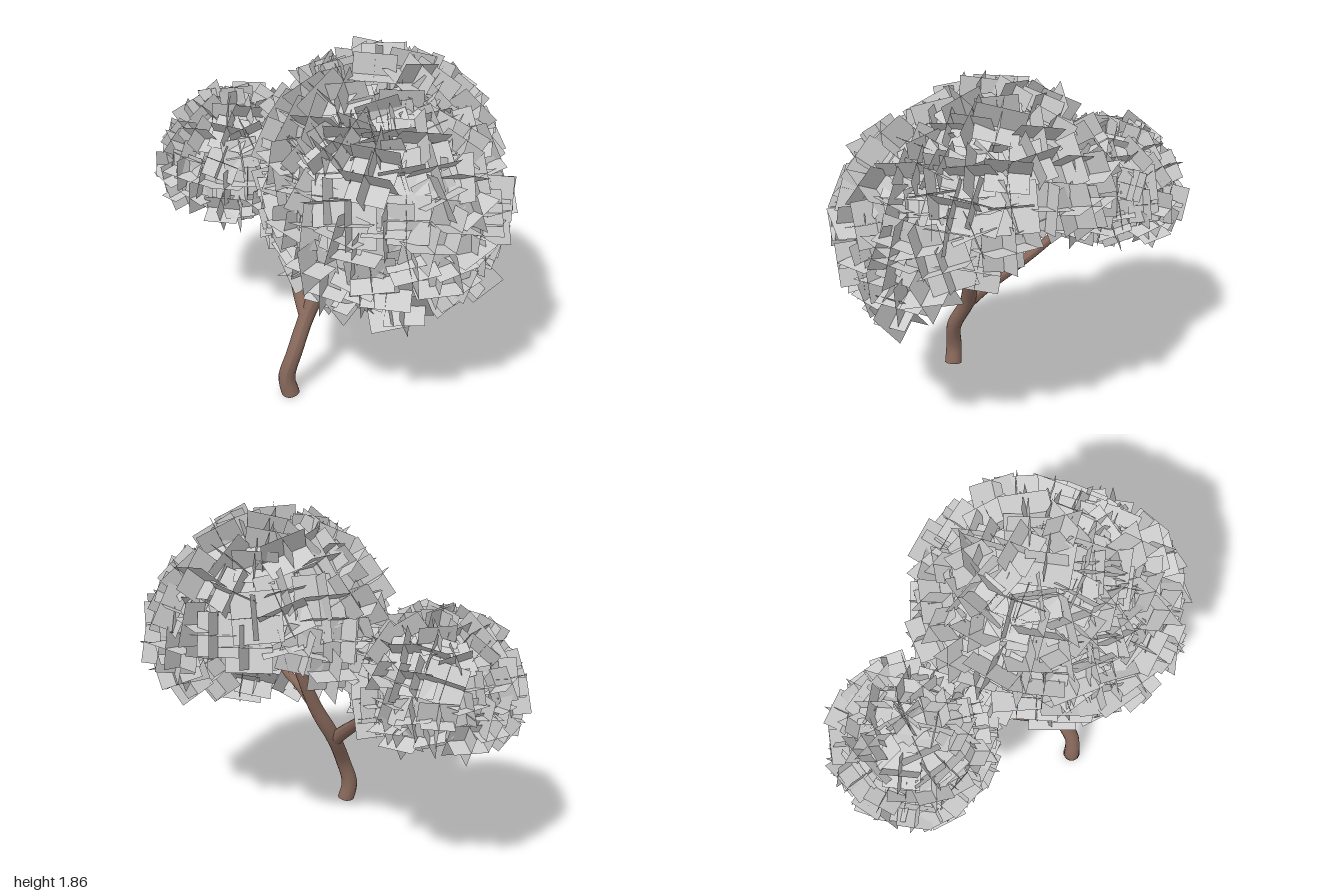
import * as THREE from 'three';
import { mergeGeometries } from 'three/addons/utils/BufferGeometryUtils.js';

const V = (x, y, z) => new THREE.Vector3(x, y, z);

// Small seeded generator, returns -1..1
function seeded(seed) {
  let s = seed;
  return () => {
    s = (s * 16807) % 2147483647;
    return (s / 2147483647) * 2 - 1;
  };
}

// Tube through the points whose radius follows a list of radii
function taperedTube(points, radii, segments = 28, sides = 12) {
  const curve = new THREE.CatmullRomCurve3(points.map((p) => V(...p)));
  const geo = new THREE.TubeGeometry(curve, segments, 1, sides);
  const pos = geo.attributes.position;
  const p = V(0, 0, 0);
  for (let i = 0; i <= segments; i++) {
    const t = i / segments;
    const c = curve.getPointAt(t);
    const f = t * (radii.length - 1);
    const k = Math.min(Math.floor(f), radii.length - 2);
    const r = THREE.MathUtils.lerp(radii[k], radii[k + 1], f - k);
    for (let j = 0; j <= sides; j++) {
      const n = i * (sides + 1) + j;
      p.fromBufferAttribute(pos, n).sub(c).multiplyScalar(r).add(c);
      pos.setXYZ(n, p.x, Math.max(p.y, 0), p.z);
    }
  }
  geo.computeVertexNormals();
  return geo;
}

// Hollow dome of leaf cards: each spot holds one tangent and two radial cards
function leafDome({ centre, radius, axis, rings, size, lowest, seed }) {
  const rand = seeded(seed);
  const cards = [];
  const tilt = new THREE.Quaternion().setFromUnitVectors(V(0, 1, 0), V(...axis).normalize());
  const turns = [[0, 0], [Math.PI / 2, 0], [0, Math.PI / 2]];
  for (let i = 0; i < rings; i++) {
    const polar = (lowest * (i + 0.2)) / (rings - 0.8);
    const count = Math.max(3, Math.round((Math.PI * 2 * Math.sin(polar) * radius) / (size * 0.65)));
    for (let j = 0; j < count; j++) {
      const a = ((j + (i % 2) / 2 + rand() * 0.3) / count) * Math.PI * 2;
      const b = polar + rand() * 0.1;
      const dir = V(Math.sin(b) * Math.sin(a), Math.cos(b), Math.sin(b) * Math.cos(a));
      dir.applyQuaternion(tilt);
      const frame = new THREE.Matrix4().lookAt(dir, V(0, 0, 0), V(0, 1, 0));
      frame.setPosition(V(...centre).addScaledVector(dir, radius * (1 + rand() * 0.06)));
      const sway = [rand() * 0.25, rand() * 0.25, rand() * 0.4];
      for (const [rx, ry] of turns) {
        const s = size * (1 + rand() * 0.12);
        const card = new THREE.PlaneGeometry(s, s);
        card.rotateX(rx).rotateY(ry);
        card.rotateX(sway[0]).rotateY(sway[1]).rotateZ(sway[2]);
        cards.push(card.applyMatrix4(frame));
      }
    }
  }
  return mergeGeometries(cards);
}

export function createModel() {
  const tree = new THREE.Group();
  tree.name = 'tree';
  const bark = new THREE.MeshStandardMaterial({ color: 0x86675a, side: THREE.DoubleSide });
  const leaf = new THREE.MeshStandardMaterial({ color: 0xcccccc, side: THREE.DoubleSide });
  const add = (name, geometry, material) => {
    const mesh = new THREE.Mesh(geometry, material);
    mesh.name = name;
    tree.add(mesh);
  };

  // Leaning trunk and its two side branches
  add('trunk', taperedTube(
    [[-0.15, 0, 0.43], [-0.17, 0.1, 0.43], [-0.13, 0.25, 0.415], [-0.06, 0.46, 0.31],
      [0.04, 0.66, 0.265], [0.12, 0.88, 0.225], [0.19, 1.1, 0.22], [0.29, 1.3, 0.23]],
    [0.05, 0.042, 0.041, 0.044, 0.037, 0.031, 0.028, 0.024], 48), bark);
  add('backBranch', taperedTube(
    [[-0.075, 0.44, 0.32], [-0.12, 0.52, 0.23], [-0.18, 0.64, 0.07], [-0.215, 0.73, -0.04],
      [-0.34, 0.86, -0.2], [-0.49, 1.0, -0.36]],
    [0.042, 0.036, 0.029, 0.026, 0.024, 0.02]), bark);
  add('frontBranch', taperedTube(
    [[0.06, 0.7, 0.26], [0.13, 0.77, 0.34], [0.2, 0.81, 0.46], [0.25, 0.89, 0.56]],
    [0.036, 0.027, 0.024, 0.02], 18), bark);

  // Three domes of leaf cards, one per branch end
  add('upperFoliage', leafDome({
    centre: [0.27, 1.21, 0.05], radius: 0.51, axis: [-0.38, 1, 0.12],
    rings: 6, size: 0.23, lowest: 1.57, seed: 11,
  }), leaf);
  add('frontFoliage', leafDome({
    centre: [0.34, 1.08, 0.24], radius: 0.52, axis: [0, 0.8, 0.6],
    rings: 7, size: 0.23, lowest: 1.75, seed: 29,
  }), leaf);
  add('sideFoliage', leafDome({
    centre: [-0.54, 0.99, -0.38], radius: 0.355, axis: [0, 1, 0],
    rings: 6, size: 0.18, lowest: 1.82, seed: 47,
  }), leaf);
  return tree;
}
